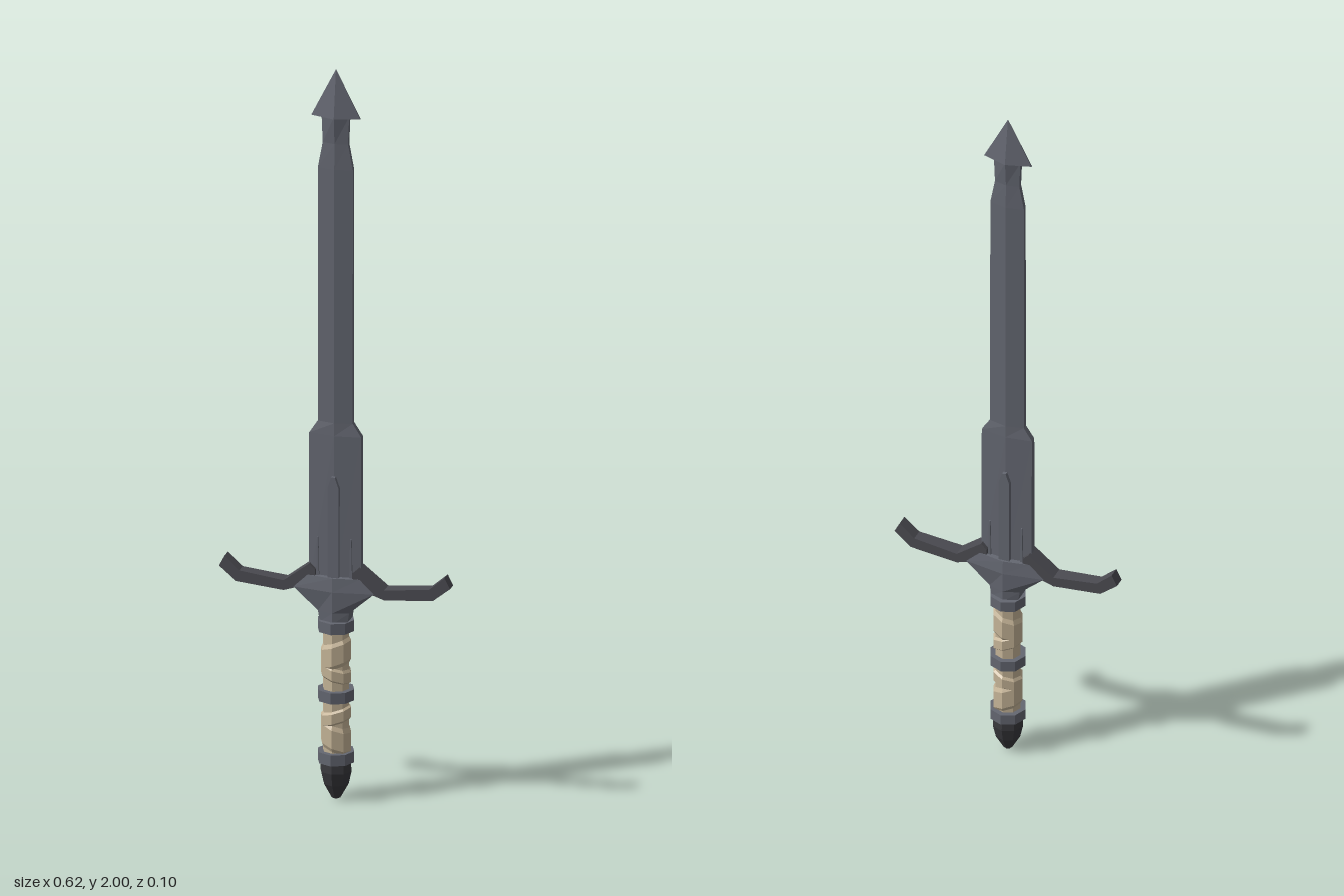
import * as THREE from 'three';

const steel = new THREE.MeshStandardMaterial({ color: 0x646771 });
steel.name = 'steel';
const darkSteel = new THREE.MeshStandardMaterial({ color: 0x4a4a50 });
darkSteel.name = 'dark steel';
const blackIron = new THREE.MeshStandardMaterial({ color: 0x38383c });
blackIron.name = 'black iron';
const leather = new THREE.MeshStandardMaterial({ color: 0xc6b598 });
leather.name = 'pale leather';

// Faceted mesh: every face gets its own normal
function part(name, geometry, material) {
  const g = geometry.index ? geometry.toNonIndexed() : geometry;
  g.computeVertexNormals();
  const mesh = new THREE.Mesh(g, material);
  mesh.name = name;
  return mesh;
}

// Ridged six-sided body; each row is [y, half width, edge half depth, ridge half depth]
function loft(rows) {
  const pos = [];
  const idx = [];
  for (const [y, w, e, m] of rows) {
    for (const [x, z] of [[w, e], [0, m], [-w, e], [-w, -e], [0, -m], [w, -e]]) pos.push(x, y, z);
  }
  const last = (rows.length - 1) * 6;
  for (let r = 0; r < last; r += 6) {
    for (let i = 0; i < 6; i++) {
      const a = r + i, b = r + (i + 1) % 6;
      idx.push(a, a + 6, b, b, a + 6, b + 6);
    }
  }
  for (let i = 1; i < 5; i++) {
    idx.push(0, i, i + 1);
    idx.push(last, last + i + 1, last + i);
  }
  const g = new THREE.BufferGeometry();
  g.setAttribute('position', new THREE.Float32BufferAttribute(pos, 3));
  g.setIndex(idx);
  return g;
}

// Flat outline extruded evenly about z = 0
function slab(points, depth) {
  const shape = new THREE.Shape(points.map(([x, y]) => new THREE.Vector2(x, y)));
  const g = new THREE.ExtrudeGeometry(shape, { depth, bevelEnabled: false });
  return g.translate(0, 0, -depth / 2);
}

function lathe(points) {
  return new THREE.LatheGeometry(points.map(([r, y]) => new THREE.Vector2(r, y)), 8);
}

export function createModel() {
  const sword = new THREE.Group();
  sword.name = 'sword';

  // Blade with a wide lower part and a narrow neck
  sword.add(part('blade', loft([
    [0.58, 0.07, 0.01, 0.019],
    [1.0, 0.07, 0.008, 0.018],
    [1.035, 0.047, 0.007, 0.017],
    [1.73, 0.047, 0.006, 0.016],
    [1.8, 0.034, 0.006, 0.014],
    [1.875, 0.037, 0.006, 0.02],
  ]), steel));

  // Barbed point
  sword.add(part('bladeTip', loft([
    [1.87, 0.066, 0.002, 0.021],
    [2.0, 0.0005, 0.0003, 0.0005],
  ]), steel));

  // Central rib and two short side ridges, running through both faces
  sword.add(part('centralRib', slab([
    [-0.015, 0.58], [0.015, 0.58], [0.015, 0.86], [0.005, 0.89], [-0.005, 0.89], [-0.015, 0.86],
  ], 0.056), steel));
  for (const s of [-1, 1]) {
    sword.add(part('sideRidge', slab([
      [s * 0.04, 0.58], [s * 0.049, 0.58], [s * 0.046, 0.72], [s * 0.043, 0.72],
    ], 0.036), steel));
  }

  // Guard block
  sword.add(part('guardBlock', loft([
    [0.49, 0.037, 0.022, 0.036],
    [0.52, 0.042, 0.022, 0.036],
    [0.578, 0.108, 0.021, 0.038],
    [0.615, 0.07, 0.022, 0.034],
  ]), steel));

  // Guard arms, thinning toward their upturned ends
  for (const s of [-1, 1]) {
    const g = slab([
      [0.05, 0.59], [0.1, 0.577], [0.135, 0.565], [0.265, 0.575], [0.311, 0.612],
      [0.296, 0.641], [0.255, 0.605], [0.135, 0.592], [0.066, 0.645], [0.05, 0.63],
    ].map(([x, y]) => [s * x, y]), 2);
    const p = g.attributes.position;
    for (let i = 0; i < p.count; i++) {
      const half = 0.024 - Math.abs(p.getX(i)) * 0.028;
      p.setZ(i, p.getZ(i) * half);
    }
    sword.add(part(s > 0 ? 'leftGuardArm' : 'rightGuardArm', g, darkSteel));
  }

  // Grip core
  const grip = new THREE.CylinderGeometry(0.035, 0.035, 0.37, 8);
  sword.add(part('grip', grip.translate(0, 0.3, 0), leather));

  // Slanted leather wraps
  for (const [y, h, tilt] of [[0.175, 0.075, -0.35], [0.23, 0.04, 0.3], [0.35, 0.04, -0.3], [0.4, 0.075, 0.35]]) {
    const g = lathe([[0.034, -h / 2], [0.041, -h / 3], [0.041, h / 3], [0.034, h / 2]]);
    const p = g.attributes.position;
    for (let i = 0; i < p.count; i++) {
      p.setY(i, p.getY(i) + y + tilt * p.getX(i));
    }
    sword.add(part('gripWrap', g, leather));
  }

  // Metal bands
  for (const y of [0.12, 0.29, 0.48]) {
    const g = new THREE.CylinderGeometry(0.049, 0.049, 0.03, 8);
    sword.add(part('gripBand', g.translate(0, y, 0), steel));
  }

  // Pommel
  sword.add(part('pommel', lathe([
    [0, 0.005], [0.012, 0.01], [0.034, 0.05], [0.042, 0.085], [0.04, 0.108], [0, 0.108],
  ]).translate(0, -0.005, 0), blackIron));

  return sword;
}
